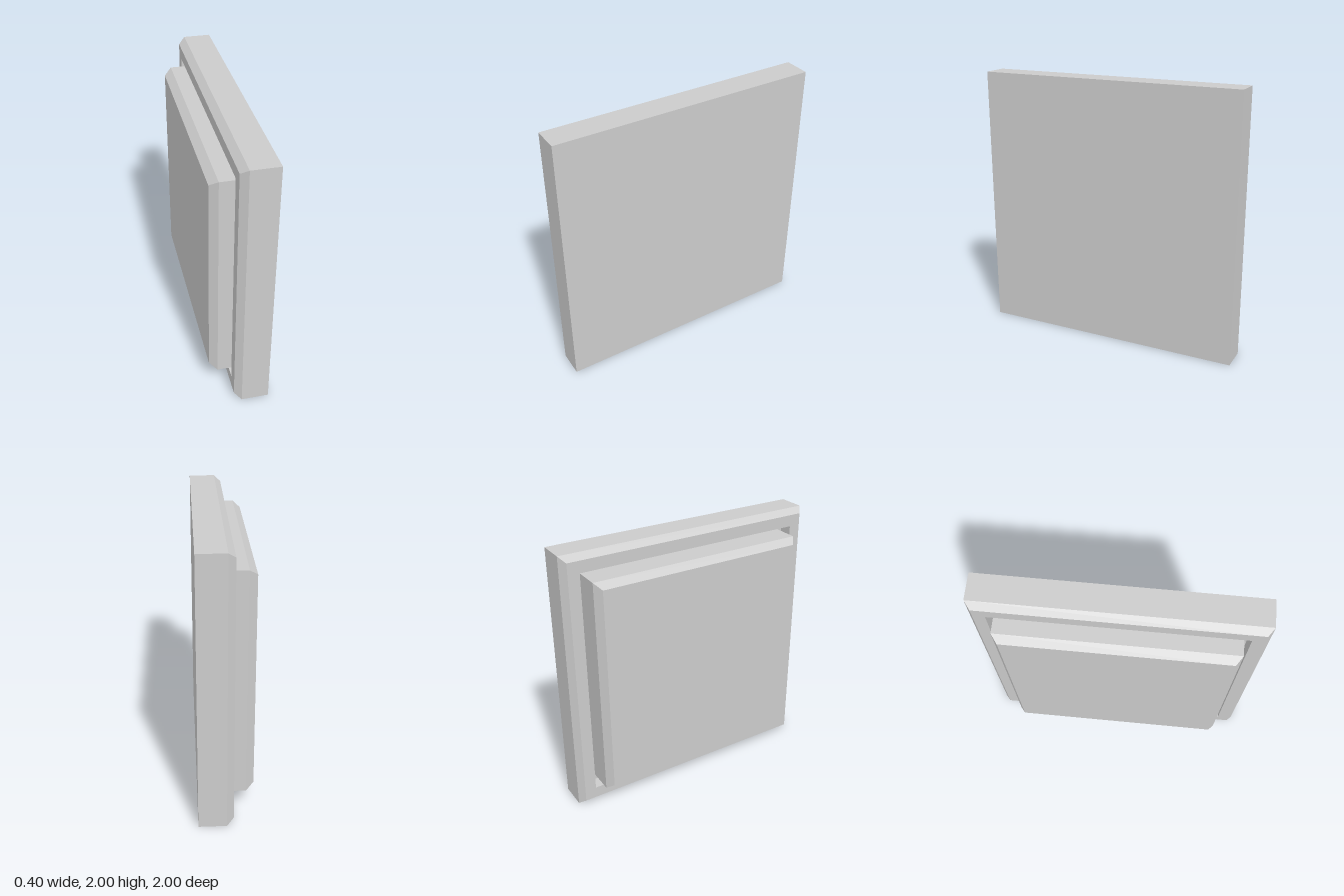
import * as THREE from 'three';

const material = new THREE.MeshStandardMaterial({ color: 0xcccccc, flatShading: true });

// Square solid: a [half-width, height] profile turned in four steps, its axis then laid along -x
function squareSolid(name, profile) {
  const points = profile.map(([half, h]) => new THREE.Vector2(half * Math.SQRT2, h));
  const geometry = new THREE.LatheGeometry(points, 4, Math.PI / 4).toNonIndexed();
  geometry.computeVertexNormals();
  geometry.rotateZ(Math.PI / 2);
  const mesh = new THREE.Mesh(geometry, material);
  mesh.name = name;
  mesh.position.y = 1;
  return mesh;
}

export function createModel() {
  const group = new THREE.Group();
  group.name = 'panel';

  const recessFloor = -0.05;

  // Chamfered outer frame with a square recess
  group.add(squareSolid('frame', [
    [0, -0.2], [1, -0.2], [1, 0], [0.96, 0.05],
    [0.873, 0.05], [0.873, recessFloor], [0, recessFloor],
  ]));

  // Chamfered plate standing in the recess, with a narrow gap all round
  group.add(squareSolid('innerPlate', [
    [0, recessFloor], [0.83, recessFloor], [0.83, 0.144], [0.787, 0.2], [0, 0.2],
  ]));

  return group;
}
